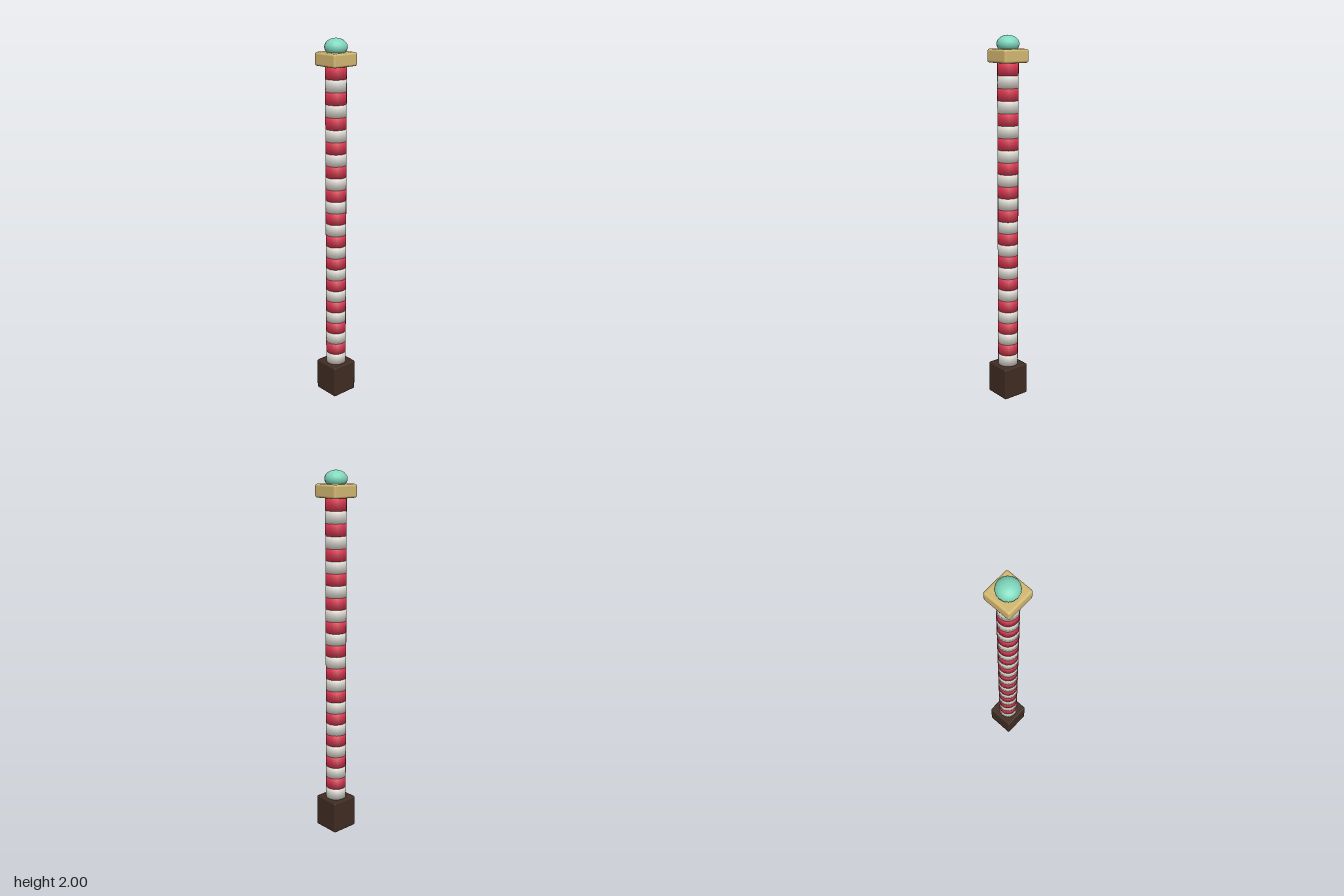
import * as THREE from 'three';
import { RoundedBoxGeometry } from 'three/addons/geometries/RoundedBoxGeometry.js';

const material = (name, color) => {
  const m = new THREE.MeshStandardMaterial({ color });
  m.name = name;
  return m;
};

export function createModel() {
  const group = new THREE.Group();
  group.name = 'stripedPole';

  const brown = material('darkBrown', 0x402c22);
  const red = material('red', 0xdc3850);
  const white = material('offWhite', 0xe4e0d8);
  const gold = material('gold', 0xd4b872);
  const teal = material('teal', 0x7fd8bc);

  const add = (name, geometry, mat, y) => {
    const mesh = new THREE.Mesh(geometry, mat);
    mesh.name = name;
    mesh.position.y = y;
    group.add(mesh);
    return mesh;
  };

  // Square foot
  const baseTop = 0.18;
  add('base', new RoundedBoxGeometry(0.156, baseTop, 0.156, 2, 0.008), brown, baseTop / 2);

  // Stacked bands with softly shaded rims, white at the bottom and red at the top
  const bands = 26, capBottom = 1.86, radius = 0.056;
  const h = (capBottom - baseTop) / bands;
  const profile = [[0, 0], [radius, 0], [radius, h], [0, h]].map(([x, y]) => new THREE.Vector2(x, y));
  const bandGeometry = new THREE.LatheGeometry(profile, 20);
  for (let i = 0; i < bands; i++) {
    add(i % 2 ? 'redBand' : 'whiteBand', bandGeometry, i % 2 ? red : white, baseTop + i * h);
  }

  // Square cap with rounded edges
  add('cap', new RoundedBoxGeometry(0.158, 0.07, 0.158, 3, 0.012), gold, capBottom + 0.035);

  // Flattened ball finial
  add('finial', new THREE.SphereGeometry(0.06, 16, 12), teal, 1.955).scale.y = 0.75;

  return group;
}
